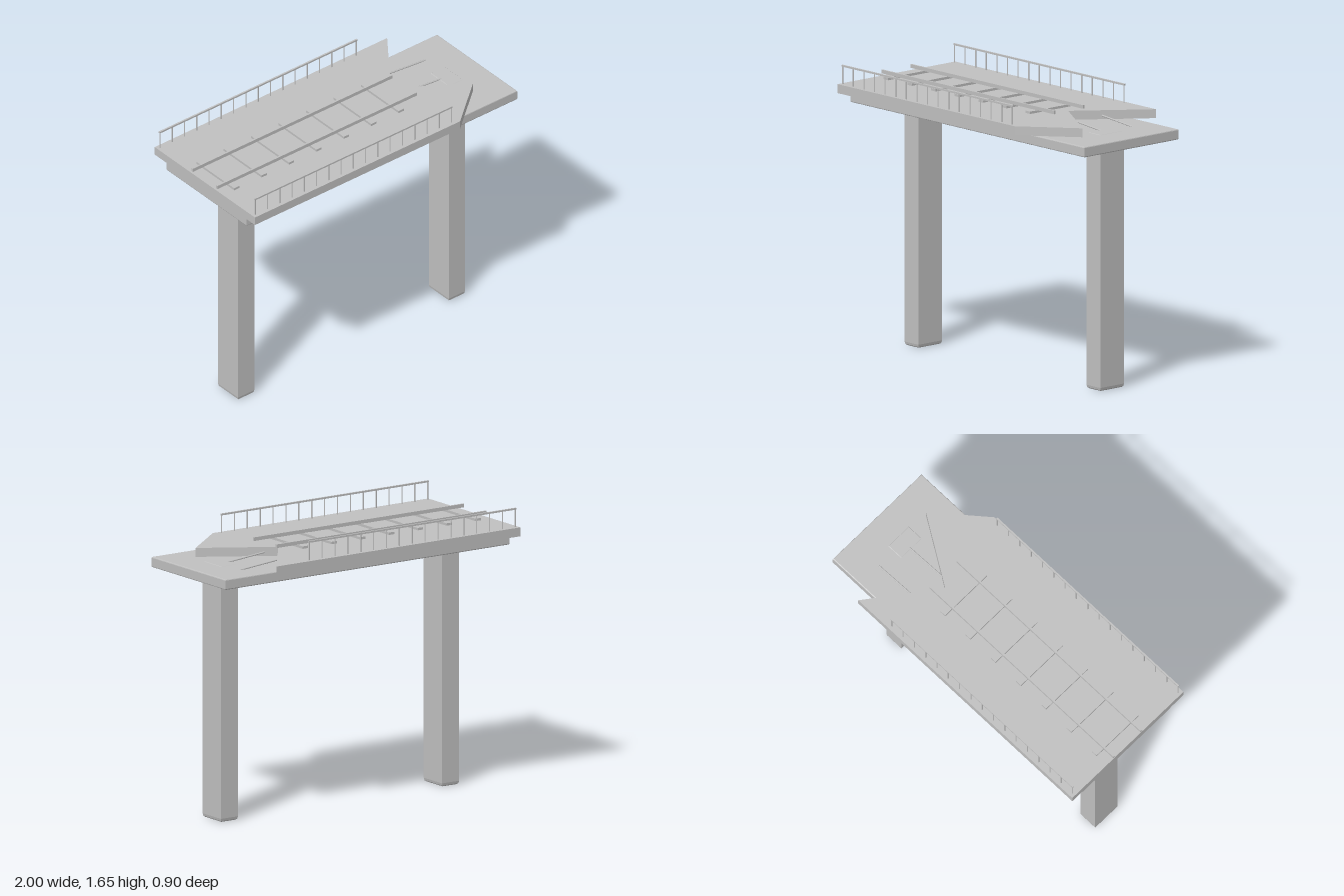
import * as THREE from 'three';

const concrete = new THREE.MeshStandardMaterial({ color: 0xc0c0c0 });
concrete.name = 'concrete grey';

export function createModel() {
  const model = new THREE.Group();
  model.name = 'brokenRailBridge';

  function add(geometry, name, x = 0, y = 0, z = 0, parent = model) {
    const mesh = new THREE.Mesh(geometry, concrete);
    mesh.name = name;
    mesh.position.set(x, y, z);
    parent.add(mesh);
    return mesh;
  }
  const box = (name, w, h, d, x, y, z, parent) =>
    add(new THREE.BoxGeometry(w, h, d), name, x, y, z, parent);

  // Flat plate with chamfered rims, lying in x/z with its base at y = 0
  function chamferedPlate(w, h, d, bevel, rise) {
    const a = w / 2 - bevel, b = d / 2 - bevel;
    const shape = new THREE.Shape([[-a, -b], [a, -b], [a, b], [-a, b]].map(p => new THREE.Vector2(...p)));
    const g = new THREE.ExtrudeGeometry(shape, {
      depth: h - 2 * rise, bevelEnabled: true, bevelSize: bevel, bevelThickness: rise, bevelSegments: 2,
    });
    return g.translate(0, 0, rise).rotateX(-Math.PI / 2);
  }

  // Pillars and the supporting slab
  for (const x of [-0.77, 0.775]) {
    add(chamferedPlate(0.118, 1.488, 0.18, 0.01, 0.02), 'pillar', x, 0, 0);
  }
  add(chamferedPlate(1.985, 0.061, 0.72, 0.006, 0.006), 'supportSlab', 0.005, 1.425, 0);

  // Deck with a jagged broken end
  const outline = [[-1, -0.45], [0.505, -0.45], [0.805, -0.2], [0.405, 0.05], [0.705, 0.45], [-1, 0.45]];
  const deck = new THREE.ExtrudeGeometry(
    new THREE.Shape(outline.map(p => new THREE.Vector2(...p))), { depth: 0.052, bevelEnabled: false });
  add(deck.rotateX(-Math.PI / 2), 'brokenDeck', 0, 1.489, 0);

  // Track: sleepers and two rails
  const track = new THREE.Group();
  track.name = 'track';
  model.add(track);
  for (let i = 0; i < 7; i++) {
    box('sleeper', 0.038, 0.014, 0.34, -0.902 + i * 0.201, 1.548, -0.003, track);
  }
  for (const z of [-0.113, 0.107]) box('rail', 1.465, 0.021, 0.011, -0.2675, 1.565, z, track);

  // Railings along both sides
  for (const side of [-1, 1]) {
    const railing = new THREE.Group();
    railing.name = side > 0 ? 'frontRailing' : 'backRailing';
    model.add(railing);
    const z = side * 0.427;
    box('handrail', 1.45, 0.01, 0.01, -0.26, 1.648, z, railing);
    const posts = 17;
    for (let i = 0; i < posts; i++) {
      const x = -0.98 + (i / (posts - 1)) * 1.44;
      add(new THREE.CylinderGeometry(0.0035, 0.0035, 0.106, 8), 'railingPost', x, 1.592, z, railing);
    }
  }

  // Bent reinforcing bars sagging from the break onto the slab
  for (const [x0, x1, z] of [[0.45, 0.785, -0.205], [0.40, 0.735, -0.005]]) {
    const path = new THREE.LineCurve3(new THREE.Vector3(x0, 1.517, z), new THREE.Vector3(x1, 1.486, z));
    add(new THREE.TubeGeometry(path, 1, 0.005, 8), 'reinforcingBar');
  }

  return model;
}
